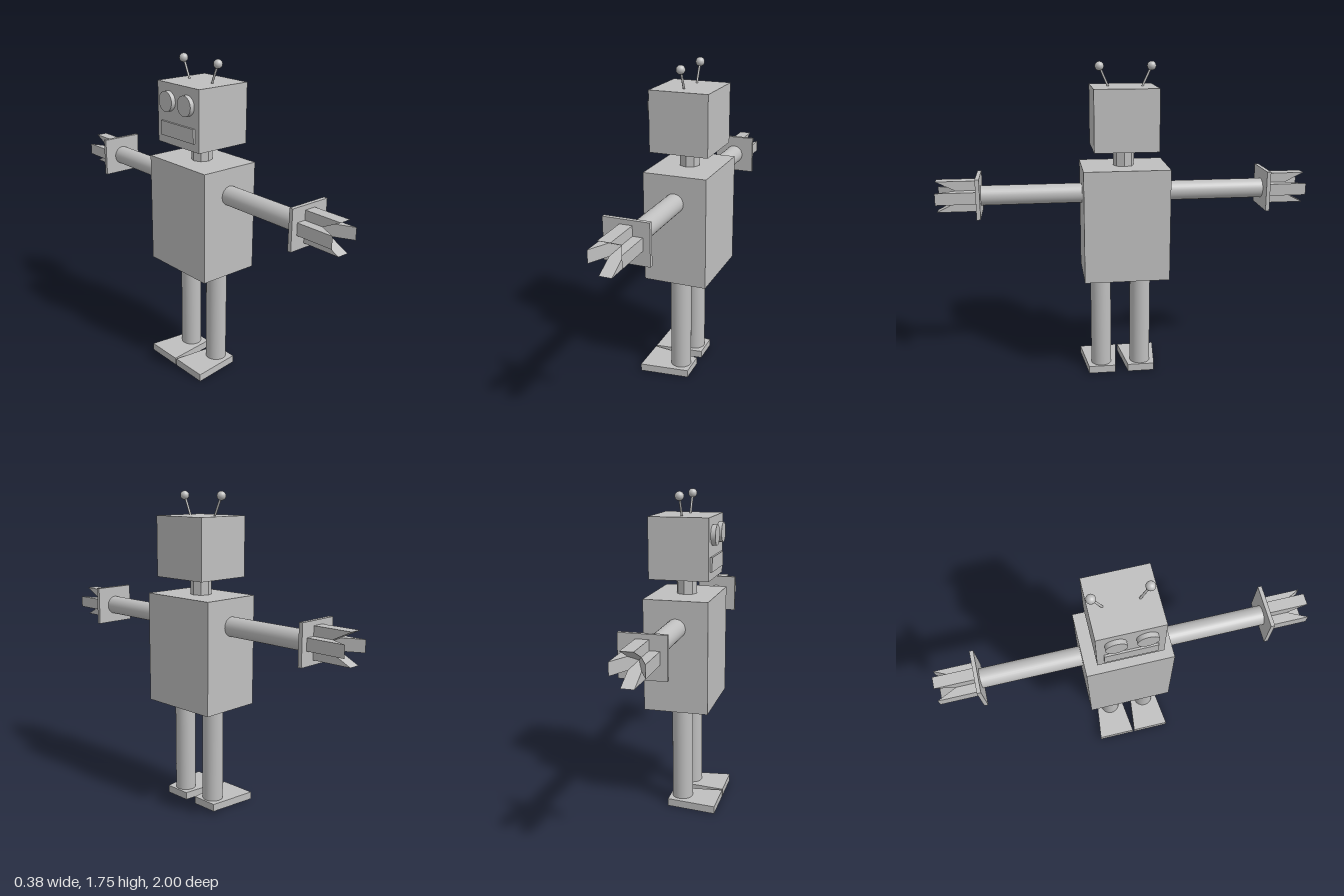
import * as THREE from 'three';

export function createModel() {
  const robot = new THREE.Group();
  robot.name = 'robot';
  const grey = new THREE.MeshStandardMaterial({ color: 0xbfbfbf });
  grey.name = 'grey metal';
  const flatGrey = grey; // one colour for the whole figure
  const axisX = 0.012; // shared centre line of limbs, neck and antennae

  function add(name, geometry, x, y, z, parent = robot) {
    const mesh = new THREE.Mesh(geometry, flatGrey);
    mesh.name = name;
    mesh.position.set(x, y, z);
    parent.add(mesh);
    return mesh;
  }

  // Box given by its limits on each axis
  function addBox(name, x0, x1, y0, y1, z0, z1, parent) {
    return add(name, new THREE.BoxGeometry(x1 - x0, y1 - y0, z1 - z0),
      (x0 + x1) / 2, (y0 + y1) / 2, (z0 + z1) / 2, parent);
  }

  // Torso, head and faceted neck
  addBox('torso', -0.16, 0.19, 0.592, 1.2, -0.23, 0.23);
  addBox('head', -0.147, 0.176, 1.294, 1.62, -0.169, 0.172);
  const neck = new THREE.CylinderGeometry(0.057, 0.057, 0.094, 8).toNonIndexed();
  neck.computeVertexNormals();
  add('neck', neck, axisX, 1.247, 0.002);

  // Face looks towards -x
  addBox('mouth', -0.158, -0.147, 1.338, 1.415, -0.133, 0.138);
  for (const z of [-0.074, 0.079]) {
    add('eye', new THREE.CylinderGeometry(0.054, 0.054, 0.026, 32), -0.159, 1.525, z).rotation.z = Math.PI / 2;
  }

  // Antennae lean outwards and end in balls
  for (const [baseZ, tipZ] of [[0.081, 0.128], [-0.098, -0.148]]) {
    const base = new THREE.Vector3(axisX, 1.615, baseZ);
    const tip = new THREE.Vector3(axisX, 1.724, tipZ);
    const rod = new THREE.TubeGeometry(new THREE.LineCurve3(base, tip), 1, 0.006, 10);
    add('antennaRod', rod, 0, 0, 0);
    add('antennaBall', new THREE.SphereGeometry(0.024, 24, 16), tip.x, tip.y, tip.z);
  }

  // Legs, with feet that widen towards the toes
  const sole = new THREE.Shape([
    new THREE.Vector2(-0.195, -0.107), new THREE.Vector2(0.08, -0.075),
    new THREE.Vector2(0.08, 0.075), new THREE.Vector2(-0.195, 0.107),
  ]);
  for (const z of [0.131, -0.092]) {
    add('leg', new THREE.CylinderGeometry(0.057, 0.057, 0.56, 32), axisX, 0.32, z);
    const foot = new THREE.ExtrudeGeometry(sole, { depth: 0.042, bevelEnabled: false });
    foot.rotateX(-Math.PI / 2);
    add('foot', foot, 0, 0, z);
  }

  // Finger: house-shaped prism pointing at the wrist axis, cut to a slanted tip
  const reach = 0.083, half = 0.032;
  const house = new THREE.Shape([
    new THREE.Vector2(0, 0), new THREE.Vector2(half, half), new THREE.Vector2(half, reach),
    new THREE.Vector2(-half, reach), new THREE.Vector2(-half, half),
  ]);
  const finger = new THREE.ExtrudeGeometry(house, { depth: 1, bevelEnabled: false });
  const p = finger.attributes.position;
  for (let i = 0; i < p.count; i++) {
    p.setZ(i, p.getZ(i) > 0.5 ? 1 - 2 * (reach - p.getY(i)) : 0.78);
  }
  finger.computeVertexNormals();

  // Arms stretched out along z, each with a hand plate and four fingers
  for (const side of [1, -1]) {
    const arm = new THREE.Group();
    arm.name = side > 0 ? 'frontArm' : 'backArm';
    arm.position.set(axisX + 0.001, 1.055, 0);
    arm.rotation.y = side > 0 ? 0 : Math.PI;
    robot.add(arm);
    add('armTube', new THREE.CylinderGeometry(0.053, 0.053, 0.56, 32), 0, -0.004, 0.495, arm).rotation.x = Math.PI / 2;
    addBox('handPlate', -0.118, 0.118, -0.108, 0.108, 0.767, 0.788, arm);
    for (let i = 0; i < 4; i++) {
      add('finger', finger, 0, 0, 0, arm).rotation.z = i * Math.PI / 2;
    }
  }
  return robot;
}
